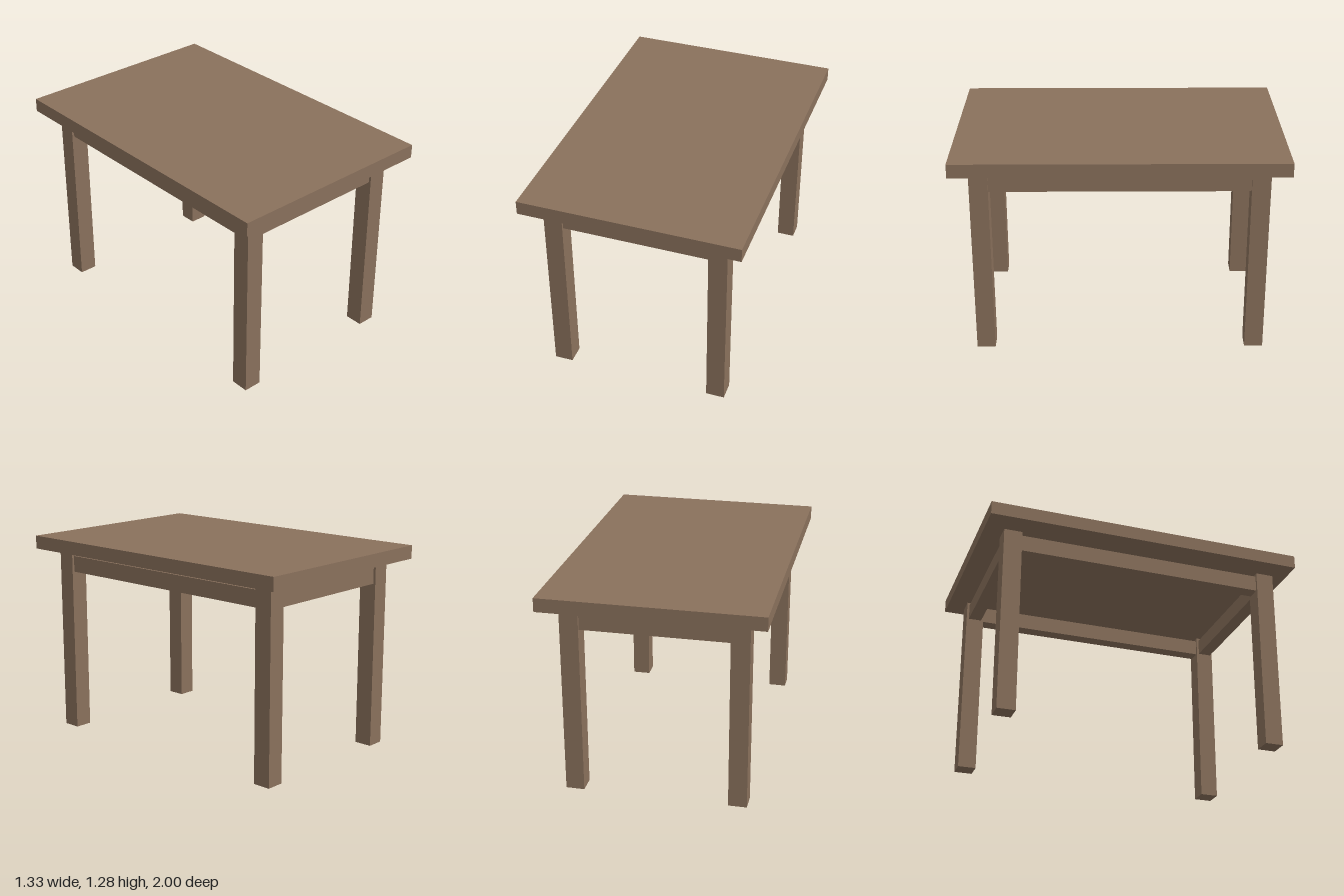
import * as THREE from 'three';

export function createModel() {
  const table = new THREE.Group();
  table.name = 'table';
  const wood = new THREE.MeshStandardMaterial({ color: 0x8a715c });
  wood.name = 'brown wood';

  const LEG = 0.113, LEG_TOP = 1.17;      // leg thickness and height
  const LEG_X = 0.5, LEG_Z = 0.834;       // leg centres
  const RAIL = 0.083, RAIL_LOW = 1.051, RAIL_HIGH = 1.154;

  // Box standing between two heights, centred on x and z
  function board(name, width, depth, low, high, x = 0, z = 0) {
    const mesh = new THREE.Mesh(new THREE.BoxGeometry(width, high - low, depth), wood);
    mesh.name = name;
    mesh.position.set(x, (low + high) / 2, z);
    table.add(mesh);
  }

  // Top slab, floating just above the frame
  board('tabletop', 1.333, 2, 1.193, 1.277);

  for (const side of [-1, 1]) {
    const xName = side > 0 ? 'left' : 'right';
    const zName = side > 0 ? 'front' : 'back';

    // Rails centred on the legs and running between them
    board(`${xName}Rail`, RAIL, 2 * LEG_Z - LEG, RAIL_LOW, RAIL_HIGH, side * LEG_X, 0);
    board(`${zName}Rail`, 2 * LEG_X - LEG, RAIL, RAIL_LOW, RAIL_HIGH, 0, side * LEG_Z);

    // Front and back legs on this side
    for (const end of [-1, 1]) {
      const legName = `${end > 0 ? 'front' : 'back'}${side > 0 ? 'Left' : 'Right'}Leg`;
      board(legName, LEG, LEG, 0, LEG_TOP, side * LEG_X, end * LEG_Z);
    }
  }
  return table;
}
